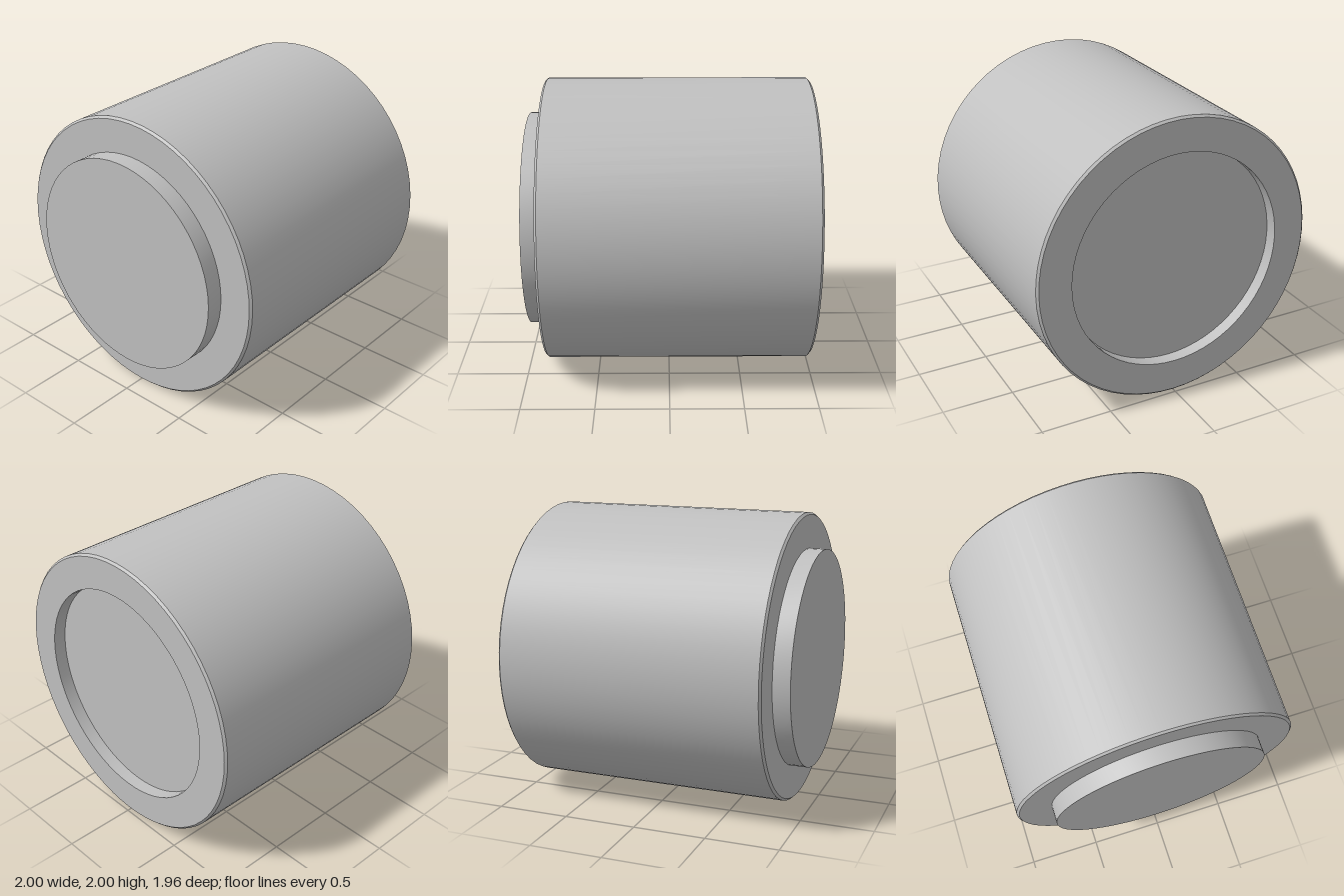
import * as THREE from 'three';
import { toCreasedNormals } from 'three/addons/utils/BufferGeometryUtils.js';

const SEGMENTS = 64;

// Turns a [radius, z] profile, listed from back to front, about the z axis.
function turned(name, profile, material) {
  const points = profile.map(([r, z]) => new THREE.Vector2(r, z));
  const lathe = new THREE.LatheGeometry(points, SEGMENTS).rotateX(Math.PI / 2);
  const mesh = new THREE.Mesh(toCreasedNormals(lathe, Math.PI / 6), material);
  mesh.name = name;
  mesh.position.y = 1;
  return mesh;
}

export function createModel() {
  const grey = new THREE.MeshStandardMaterial({ color: 0xc0c0c0 });
  grey.name = 'light grey';

  const back = -0.98, shoulder = 0.86, front = 0.98;
  const radius = 1, chamfer = 0.015;
  const bossRadius = 0.755, recessRadius = 0.76, recessDepth = 0.09;

  const model = new THREE.Group();
  model.name = 'steppedCylinder';

  // Recessed floor at the back
  model.add(turned('recessFloor', [
    [0, back + recessDepth],
    [recessRadius, back + recessDepth],
  ], grey));

  // Recess wall, back rim, chamfered barrel and front shoulder
  model.add(turned('barrel', [
    [recessRadius, back + recessDepth],
    [recessRadius, back],
    [radius - chamfer, back],
    [radius, back + chamfer],
    [radius, shoulder - chamfer],
    [radius - chamfer, shoulder],
    [bossRadius, shoulder],
  ], grey));

  // Raised round boss on the front
  model.add(turned('frontBoss', [
    [bossRadius, shoulder],
    [bossRadius, front],
    [0, front],
  ], grey));

  return model;
}
